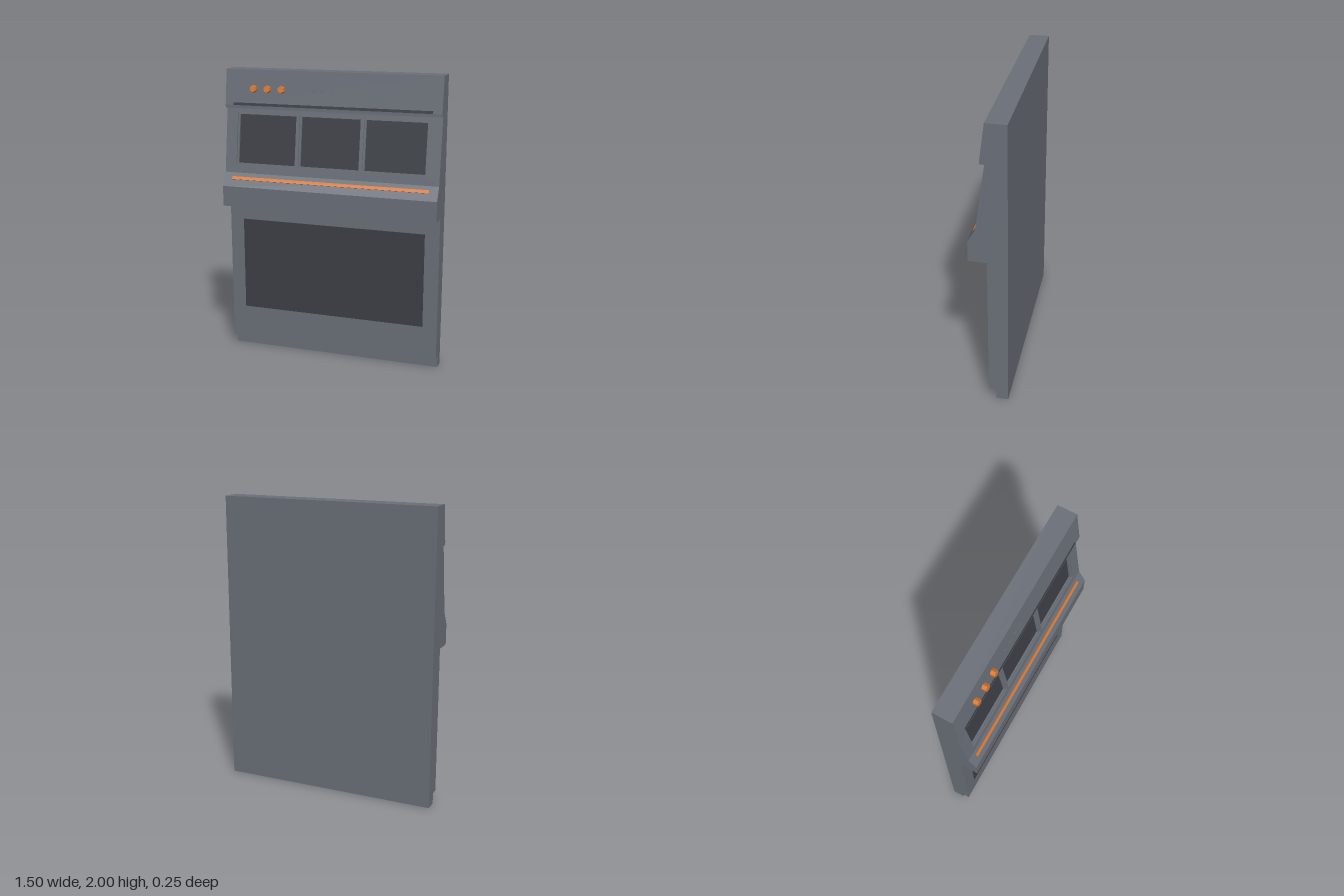
import * as THREE from 'three';

const mat = (name, color) => Object.assign(new THREE.MeshStandardMaterial({ color }), { name });

export function createModel() {
  const body = mat('slate grey', 0x6b7079);
  const glass = mat('dark glass', 0x3d4046);
  const orange = mat('orange', 0xdd7a33);
  const group = new THREE.Group();

  const add = (parent, name, geo, material, x = 0, y = 0, z = 0) => {
    const m = new THREE.Mesh(geo, material);
    m.name = name;
    m.position.set(x, y, z);
    parent.add(m);
    return m;
  };
  const box = (parent, name, w, h, d, material, x, y, z) =>
    add(parent, name, new THREE.BoxGeometry(w, h, d), material, x, y, z);

  // A group lying on a sloped face that runs from (z0, y0) up to (z1, y1)
  const slope = (name, z0, y0, z1, y1) => {
    const g = new THREE.Group();
    g.name = name;
    g.position.set(0, y0, z0);
    g.rotation.x = Math.atan2(z1 - z0, y1 - y0);
    group.add(g);
    return g;
  };

  // Rectangle outline from its edges
  const rect = (Type, x0, y0, x1, y1) => new Type([[x0, y0], [x1, y0], [x1, y1], [x0, y1]]
    .map(([x, y]) => new THREE.Vector2(x, y)));
  const slab = (shape, depth) => new THREE.ExtrudeGeometry(shape, { depth, bevelEnabled: false });

  // Cabinet: side profile as (z, y), swept across the width
  const profile = [
    [-0.125, 0], [-0.045, 0], [-0.045, 0.075], [0.005, 0.075], [0.005, 1.07], [0.125, 1.07],
    [0.125, 1.21], [0.074, 1.30], [0.049, 1.2965], [-0.013, 1.7365], [0.012, 1.74],
    [0.042, 1.74], [0.042, 1.76], [0.01, 2], [-0.125, 2],
  ].map(([z, y]) => new THREE.Vector2(z, y));
  const cabinet = slab(new THREE.Shape(profile), 1.5);
  cabinet.translate(0, 0, -0.75).rotateY(-Math.PI / 2);
  add(group, 'cabinet', cabinet, body);

  // Lower dark panel
  box(group, 'lowerPanel', 1.3, 0.65, 0.008, glass, 0, 0.63, 0.007);

  // Sloped window panel with three recessed windows
  const upper = slope('windowPanel', 0.074, 1.30, 0.012, 1.74);
  const panel = rect(THREE.Shape, -0.75, 0, 0.75, 0.4443);
  const v0 = 0.056, v1 = 0.414, half = 0.218;
  for (const x of [-0.4525, -0.0025, 0.4475]) {
    panel.holes.push(rect(THREE.Path, x - half, v0, x + half, v1));
    const rim = rect(THREE.Shape, x - half, v0, x + half, v1);
    rim.holes.push(rect(THREE.Path, x - half + 0.013, v0 + 0.012, x + half - 0.013, v1 - 0.012));
    add(upper, 'windowRim', slab(rim, 0.016), body, 0, 0, -0.025);
    box(upper, 'windowGlass', 2 * half, v1 - v0, 0.004, glass, x, (v0 + v1) / 2, -0.024);
  }
  add(upper, 'panelFace', slab(panel, 0.025), body, 0, 0, -0.025);

  // Orange strip on the ledge
  const ledge = slope('ledge', 0.125, 1.21, 0.074, 1.30);
  box(ledge, 'orangeStrip', 1.38, 0.022, 0.008, orange, 0, 0.063, 0.001);

  // Control panel: slot, knobs and small buttons
  const controls = slope('controlPanel', 0.042, 1.76, 0.01, 2);
  box(controls, 'slot', 1.38, 0.018, 0.004, glass, 0, 0.009, 0);
  for (const x of [-0.54, -0.44, -0.34]) {
    const knob = new THREE.CylinderGeometry(0.024, 0.024, 0.036, 6).toNonIndexed();
    knob.computeVertexNormals();
    knob.rotateX(Math.PI / 2);
    add(controls, 'knob', knob, orange, x, 0.114, 0.014);
  }
  for (let i = 0; i < 4; i++) {
    box(controls, 'button', 0.018, 0.022, 0.008, body, -0.19 + i * 0.0625, 0.111, 0.001);
  }
  return group;
}
